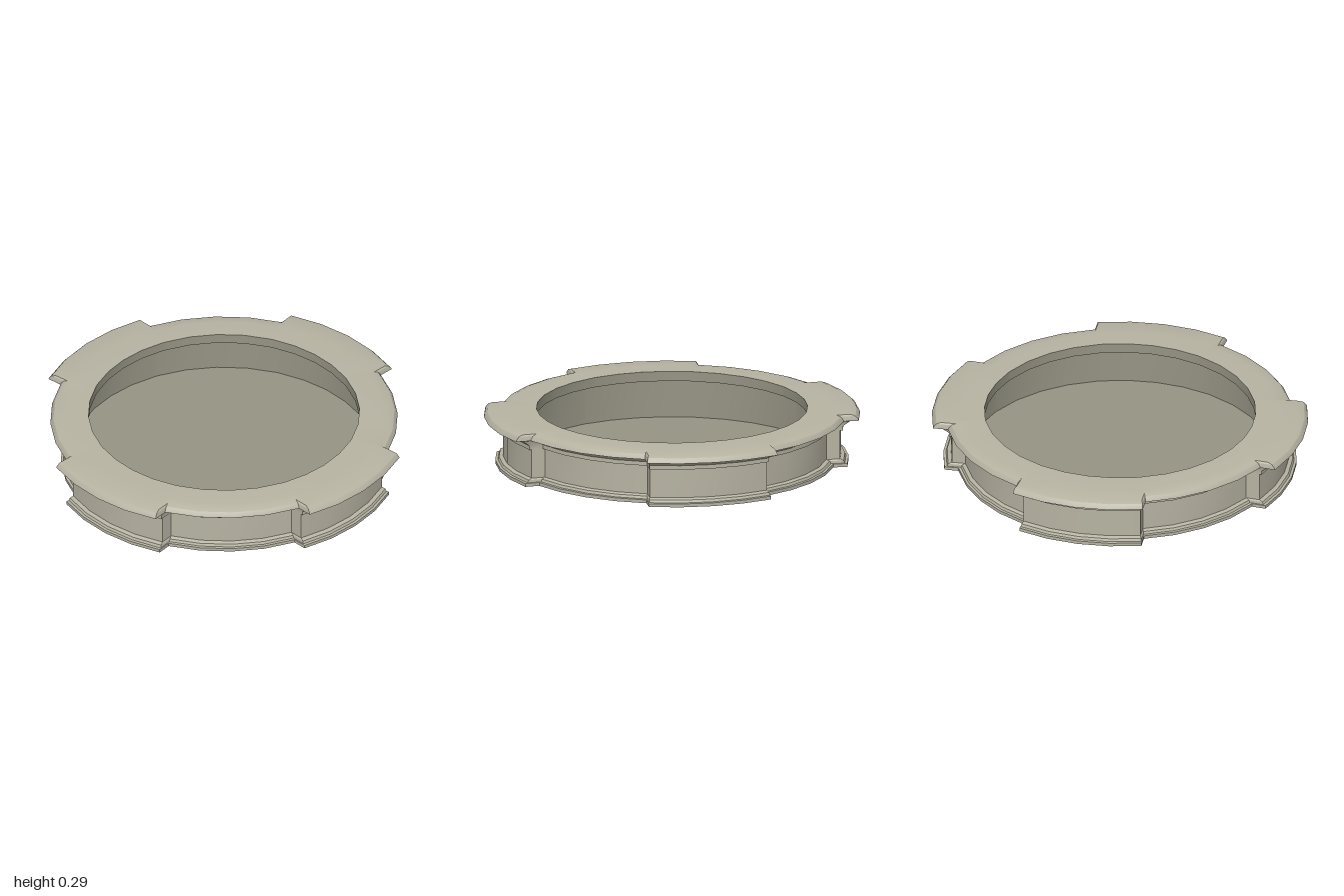
import * as THREE from 'three';
import { toCreasedNormals } from 'three/addons/utils/BufferGeometryUtils.js';

// Outline of the lid: four raised lobes on the axes, recessed arcs between them
const LOBE = [-20.8, -10.4, 0, 10.4, 20.8];
const RECESS = [22.3, 33.6, 45, 56.4, 67.7];
const outline = [];
for (let q = 0; q < 4; q++) {
  for (const a of LOBE) outline.push({ a: THREE.MathUtils.degToRad(a + q * 90), r: 0.997 });
  for (const a of RECESS) outline.push({ a: THREE.MathUtils.degToRad(a + q * 90), r: 0.92 });
}

// A ring is either the scaled outline or a plain circle
const lobed = (s, y) => outline.map(({ a, r }) => [s * r * Math.sin(a), y, s * r * Math.cos(a)]);
const circle = (r, y) => outline.map(({ a }) => [r * Math.sin(a), y, r * Math.cos(a)]);

// Joins successive rings into a surface
function loft(name, rings, material) {
  const pos = [];
  const tri = (a, b, c) => {
    const n = new THREE.Vector3().subVectors(new THREE.Vector3(...b), new THREE.Vector3(...a))
      .cross(new THREE.Vector3().subVectors(new THREE.Vector3(...c), new THREE.Vector3(...a)));
    if (n.length() > 1e-9) pos.push(...a, ...b, ...c);
  };
  for (let k = 0; k + 1 < rings.length; k++) {
    const lo = rings[k], hi = rings[k + 1];
    for (let i = 0; i < lo.length; i++) {
      const j = (i + 1) % lo.length;
      tri(lo[i], lo[j], hi[j]);
      tri(lo[i], hi[j], hi[i]);
    }
  }
  const geo = new THREE.BufferGeometry();
  geo.setAttribute('position', new THREE.Float32BufferAttribute(pos, 3));
  const mesh = new THREE.Mesh(toCreasedNormals(geo, 0.45), material);
  mesh.name = name;
  return mesh;
}

export function createModel() {
  const group = new THREE.Group();
  group.name = 'lobedRing';
  const shell = new THREE.MeshStandardMaterial({ color: 0xb7b4a3 });
  const inside = new THREE.MeshStandardMaterial({ color: 0x969484 });

  // Flat underside and stepped foot
  group.add(loft('base', [
    circle(0, 0), lobed(0.942, 0), lobed(0.942, 0.018), lobed(0.928, 0.02),
    lobed(0.922, 0.034), lobed(0.902, 0.042),
  ], shell));

  // Recessed outer wall
  group.add(loft('outerWall', [lobed(0.902, 0.042), lobed(0.902, 0.2)], shell));

  // Moulded underside of the rim, overhang and rounded top
  group.add(loft('rim', [
    lobed(0.902, 0.2), lobed(0.917, 0.2), lobed(0.917, 0.222), lobed(0.955, 0.251),
    lobed(1.003, 0.256), lobed(1.0, 0.264), lobed(0.985, 0.281),
    lobed(0.96, 0.289), circle(0.84, 0.294), circle(0.72, 0.295),
  ], shell));

  // Inner lip, undercut cavity wall and floor
  group.add(loft('innerLip', [circle(0.72, 0.295), circle(0.72, 0.242), circle(0.81, 0.242)], inside));
  group.add(loft('cavity', [circle(0.81, 0.242), circle(0.81, 0.02), circle(0, 0.02)], inside));
  return group;
}
